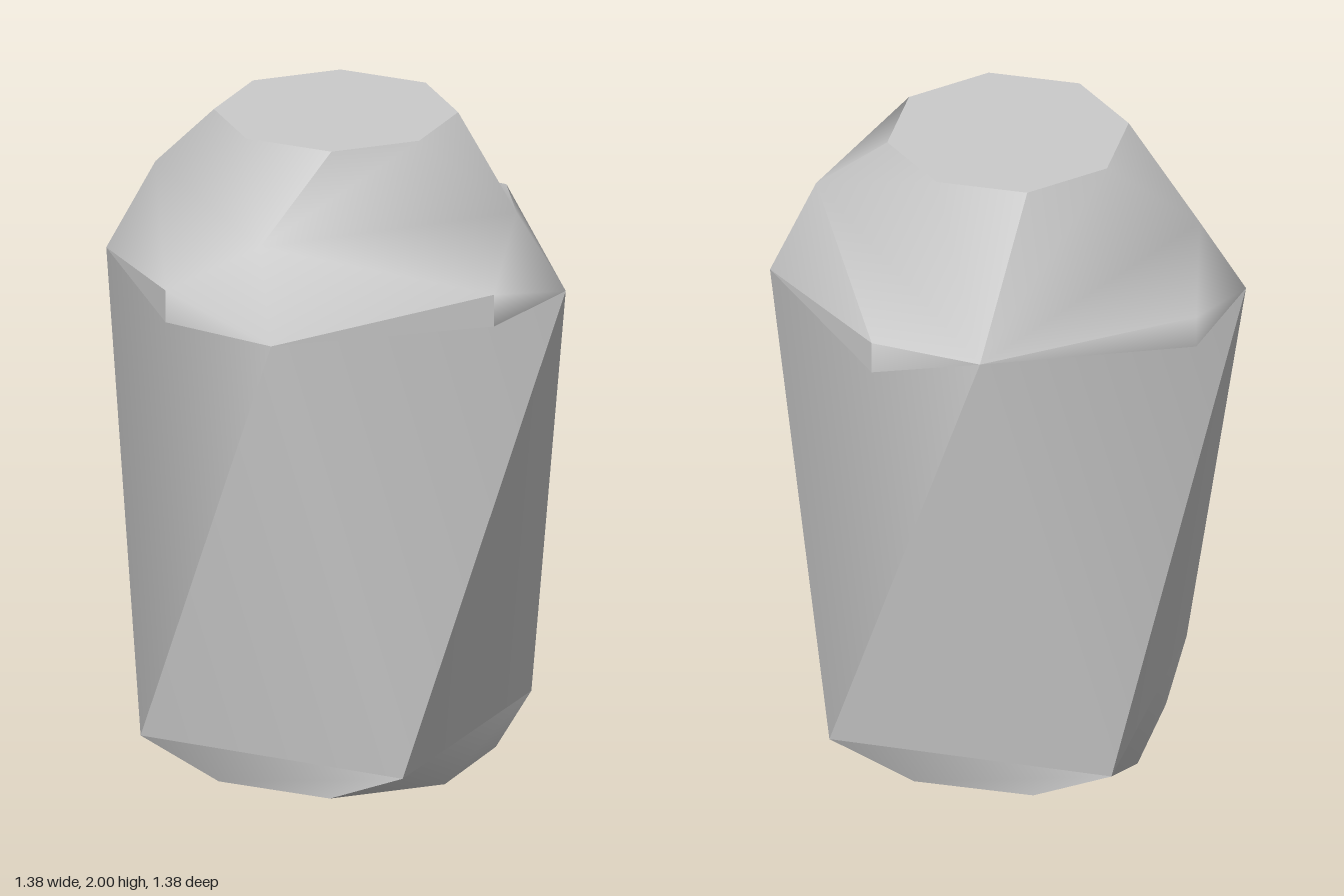
import * as THREE from 'three';

const grey = new THREE.MeshStandardMaterial({ color: 0xcccccc });
grey.name = 'light grey';

// point at an azimuth in degrees, measured from +z towards +x
const at = (deg, r, y) => {
  const a = THREE.MathUtils.degToRad(deg);
  return [r * Math.sin(a), y, r * Math.cos(a)];
};
// four points a quarter turn apart
const quarters = (deg, r, y) => [0, 1, 2, 3].map((k) => at(deg + 90 * k, r, y));

// triangles that share a point object are smoothed together
function addPart(group, name, triangles) {
  const index = new Map(), positions = [], indices = [];
  for (const tri of triangles) {
    if (new Set(tri).size < 3) continue;
    for (const p of tri) {
      if (!index.has(p)) {
        index.set(p, index.size);
        positions.push(...p);
      }
      indices.push(index.get(p));
    }
  }
  const geometry = new THREE.BufferGeometry();
  geometry.setAttribute('position', new THREE.Float32BufferAttribute(positions, 3));
  geometry.setIndex(indices);
  geometry.computeVertexNormals();
  const mesh = new THREE.Mesh(geometry, grey);
  mesh.name = name;
  group.add(mesh);
}

export function createModel() {
  const model = new THREE.Group();
  model.name = 'container';

  const foot = (deg) => at(deg, 0.475, 0);
  const top = (deg) => at(deg, 0.363, 2);
  const bodyLow = quarters(-24, 0.613, 0.1);
  const rim = quarters(31.4, 0.709, 1.5);
  const rimLow = quarters(0, 0.69, 1.5);
  const rimHigh = quarters(0, 0.69, 1.6);
  const shoulder = quarters(24.3, 0.582, 1.76);
  // one back corner runs straight from the rim to the top
  rim[2] = shoulder[2] = at(209, 0.692, 1.6);

  const lid = [];
  for (let k = 0; k < 4; k++) {
    const n = (k + 1) % 4, p = (k + 3) % 4, d = 90 * k;

    // twisted body side
    addPart(model, 'bodySide', [
      [rim[p], bodyLow[p], bodyLow[k]],
      [rim[p], bodyLow[k], rim[k]],
    ]);

    // bevel from the four-cornered body to the eight-sided foot
    const f = foot(d);
    addPart(model, 'footBevel', [
      [foot(d - 45), f, bodyLow[k]],
      [f, bodyLow[n], bodyLow[k]],
      [f, foot(d + 45), bodyLow[n]],
    ]);

    // underside and left-hand facet of the rim
    addPart(model, 'rimUnderside', [[rim[k], rim[n], rimLow[n]]]);
    const facet = [rim[k], rimLow[n], rimHigh[n]];
    if (k === 2) lid.push(facet);
    else addPart(model, 'rimFacet', [facet]);

    // lid: slope up to the top, lower dome and right-hand rim facet
    const left = k === 2 ? [...shoulder[k]] : shoulder[k];
    const right = k === 1 ? [...shoulder[n]] : shoulder[n];
    const mid = top(d + 90);
    lid.push(
      [left, mid, top(d + 45)],
      [left, right, mid],
      [right, top(d + 135), mid],
      [rim[k], rimHigh[n], shoulder[k]],
      [rimHigh[n], rim[n], shoulder[n]],
      [rimHigh[n], rimLow[n], rim[n]],
    );
    // this facet is creased from the dome at the back corner
    lid.push(k === 1 ? [[...rimHigh[n]], right, left] : [rimHigh[n], right, left]);
  }
  addPart(model, 'lid', lid);

  // flat ends
  for (const [name, r, y, turn] of [['topFace', 0.363, 2, -1], ['bottomFace', 0.475, 0, 1]]) {
    const end = new THREE.Mesh(new THREE.CircleGeometry(r, 8), grey);
    end.name = name;
    end.rotation.x = (turn * Math.PI) / 2;
    end.position.y = y;
    model.add(end);
  }
  return model;
}
